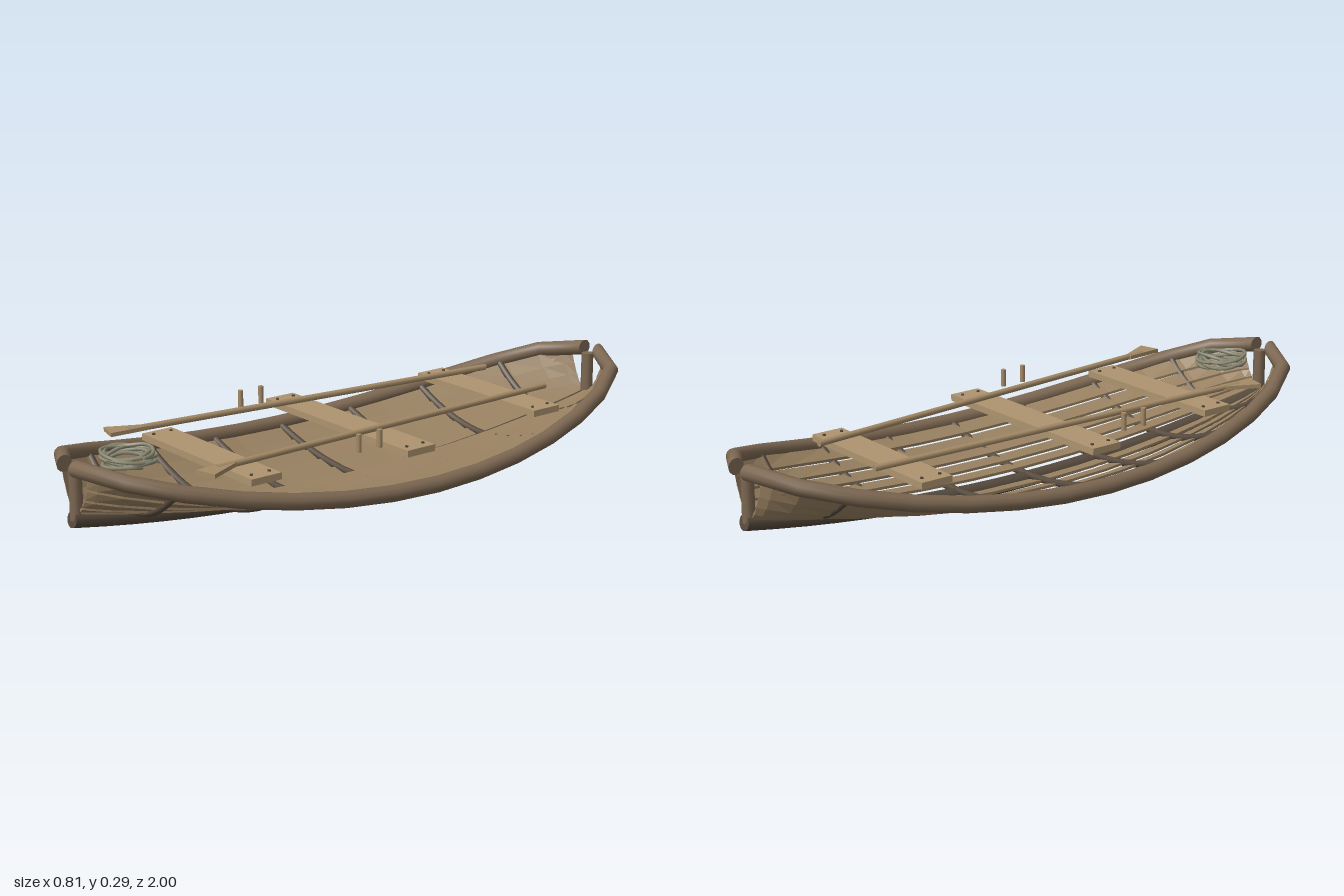
import * as THREE from 'three';

const mat = (color, extra = {}) => new THREE.MeshStandardMaterial({ color, ...extra });
const wood = {
  rail: mat(0x7d6852), plank: mat(0x9a8262, { side: THREE.DoubleSide, flatShading: true }),
  bench: mat(0xae9470), dark: mat(0x574a3d), oar: mat(0xa68c68), rope: mat(0x8c8a74),
};

// Hull lines: half width, sheer height and keel height along the boat
const END = 0.975;
const halfWidth = z => 0.03 + 0.35 * Math.sqrt(Math.max(0, 1 - (z / END) ** 2));
const sheer = z => 0.11 + 0.155 * (z / END) ** 2;
const keelY = z => 0.025 + 0.088 * (z / END) ** 2;

// Point on the hull skin: t = 0 at the keel, 1 at the sheer
function skin(t, z, side) {
  const bottom = keelY(z) + 0.012, top = sheer(z) - 0.008;
  return new THREE.Vector3(side * t * (halfWidth(z) - 0.018), bottom + (top - bottom) * t * t, z);
}

class Path extends THREE.Curve {
  constructor(fn) { super(); this.fn = fn; }
  getPoint(t) { return this.fn(t); }
}

// Tube with capped ends
function rod(name, fn, segments, radius, sides, material) {
  const group = new THREE.Group();
  group.name = name;
  const path = new Path(fn);
  group.add(new THREE.Mesh(new THREE.TubeGeometry(path, segments, radius, sides), material));
  for (const t of [0, 1]) {
    const cap = new THREE.Mesh(new THREE.CircleGeometry(radius, sides), material);
    cap.position.copy(path.getPointAt(t));
    const out = path.getTangentAt(t).multiplyScalar(t ? 1 : -1);
    cap.quaternion.setFromUnitVectors(new THREE.Vector3(0, 0, 1), out);
    group.add(cap);
  }
  return group;
}

function box(name, size, pos, material) {
  const mesh = new THREE.Mesh(new THREE.BoxGeometry(...size), material);
  mesh.name = name;
  mesh.position.set(...pos);
  return mesh;
}

// One long plank: a four-cornered section swept from bow to stern
function plank(t0, t1, side) {
  const N = 16, pos = [], index = [];
  for (let i = 0; i <= N; i++) {
    const z = 0.96 * Math.sin((i / N - 0.5) * Math.PI);
    const fade = 0.35 + 0.65 * Math.cos(z * 1.5);
    const low = skin(t0, z, side), high = skin(t1, z, side);
    low.y += side * 0.014 * fade;
    high.y += side * 0.003 * fade;
    for (const [p, dy] of [[low, 0], [high, 0], [high, 0.008], [low, 0.008]]) pos.push(p.x, p.y + dy, p.z);
    if (i === N) break;
    for (let k = 0; k < 4; k++) {
      const a = i * 4 + k, b = i * 4 + (k + 1) % 4;
      if (side > 0) index.push(a, b, a + 4, b, b + 4, a + 4);
      else index.push(a, a + 4, b, b, a + 4, b + 4);
    }
  }
  const e = N * 4;
  index.push(0, 2, 1, 0, 3, 2, e, e + 1, e + 2, e, e + 2, e + 3);
  const geo = new THREE.BufferGeometry();
  geo.setAttribute('position', new THREE.Float32BufferAttribute(pos, 3));
  geo.setIndex(index);
  geo.computeVertexNormals();
  const mesh = new THREE.Mesh(geo, wood.plank);
  mesh.name = 'plank';
  return mesh;
}

// Oar lying lengthwise with a flat blade at the front end
function oar(side) {
  const group = new THREE.Group();
  group.name = 'oar';
  const a = new THREE.Vector3(side * 0.137, 0.233, -0.64), b = new THREE.Vector3(side * 0.222, 0.25, 0.65);
  group.add(rod('oarShaft', t => a.clone().lerp(b, t), 1, 0.01, 8, wood.oar));
  const shape = new THREE.Shape();
  shape.moveTo(-0.01, -0.07);
  shape.lineTo(0.01, -0.07);
  shape.lineTo(0.033, 0.05);
  shape.lineTo(-0.033, 0.05);
  const geo = new THREE.ExtrudeGeometry(shape, { depth: 0.012, bevelEnabled: false });
  geo.translate(0, 0, -0.006).rotateX(Math.PI / 2);
  const blade = new THREE.Mesh(geo, wood.oar);
  blade.name = 'oarBlade';
  blade.position.set(side * 0.232, 0.249, 0.655);
  blade.rotation.y = side * 0.25;
  group.add(blade);
  return group;
}

export function createModel() {
  const boat = new THREE.Group();
  boat.name = 'rowingBoat';

  // Keel and end posts
  boat.add(rod('keel', t => {
    const z = END * (2 * t - 1);
    return new THREE.Vector3(0, keelY(z), z);
  }, 20, 0.024, 12, wood.dark));
  for (const s of [-1, 1]) {
    boat.add(rod('endPost', t => new THREE.Vector3(0, 0.11 + 0.145 * t, s * 0.96), 1, 0.019, 8, wood.rail));
  }

  // Gunwales and planking
  const COUNT = 5;
  for (const side of [-1, 1]) {
    boat.add(rod('gunwale', t => {
      const z = END * Math.sin((t - 0.5) * Math.PI);
      return new THREE.Vector3(side * halfWidth(z), sheer(z), z);
    }, 14, 0.024, 12, wood.rail));
    for (let i = 0; i < COUNT; i++) {
      const step = 0.93 / COUNT, t0 = 0.05 + i * step;
      boat.add(plank(t0, t0 + step * 0.96, side));
    }
  }

  // Ribs
  for (let i = -3; i <= 3; i++) {
    const z = i * 0.26;
    boat.add(rod('rib', t => {
      const u = 2 * t - 1;
      const p = skin(Math.abs(u), z, Math.sign(u) || 1);
      p.y += 0.004;
      return p;
    }, 14, 0.011, 8, wood.dark));
  }

  // Benches with their pegs
  for (const [z, half] of [[-0.525, 0.27], [0.025, 0.337], [0.52, 0.27]]) {
    boat.add(box('bench', [half * 2, 0.02, 0.102], [0, 0.203, z], wood.bench));
    for (const sx of [-1, 1]) for (const sz of [-1, 1]) {
      const peg = new THREE.Mesh(new THREE.CylinderGeometry(0.005, 0.005, 0.006, 8), wood.dark);
      peg.name = 'benchPeg';
      peg.position.set(sx * (half - 0.03), 0.214, z + sz * 0.03);
      boat.add(peg);
    }
  }

  // Oars and thole pins
  for (const side of [-1, 1]) {
    boat.add(oar(side));
    for (const z of [0.135, 0.21]) {
      const pin = new THREE.Mesh(new THREE.CylinderGeometry(0.008, 0.008, 0.053, 8), wood.oar);
      pin.name = 'tholePin';
      pin.position.set(side * 0.283, 0.249, z);
      boat.add(pin);
    }
  }

  // Coiled rope: wandering loops
  const TURNS = 6;
  const coil = rod('ropeCoil', t => {
    const a = t * TURNS * Math.PI * 2;
    const r = 0.068 + 0.009 * Math.sin(a * 1.37);
    return new THREE.Vector3(r * Math.cos(a), 0.24 + 0.034 * t + 0.005 * Math.sin(a * 2.3), 0.79 + r * Math.sin(a));
  }, 150, 0.0055, 6, wood.rope);
  boat.add(coil);

  return boat;
}
